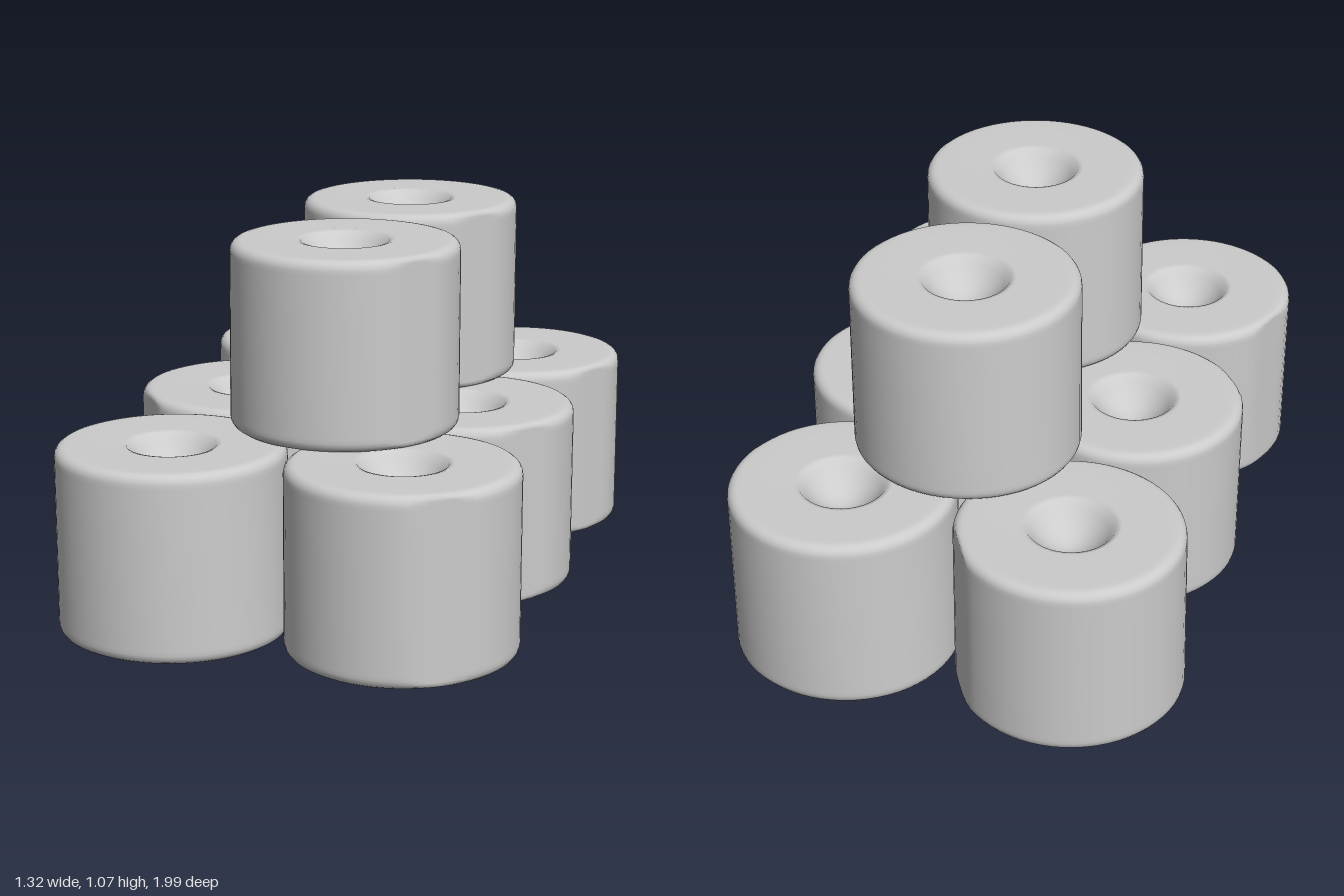
import * as THREE from 'three';
import { mergeVertices } from 'three/addons/utils/BufferGeometryUtils.js';

const R = 0.325, H = 0.535, BEVEL = 0.028, DENT_R = 0.125, DENT_D = 0.085;

// Half profile from the mid-height side up to the centre of the top dent
function upperProfile() {
  const pts = [[R, 0.08], [R, H / 2 - BEVEL - 0.012]];
  for (let i = 0; i <= 4; i++) {
    const a = (i / 4) * Math.PI / 2;
    pts.push([R - BEVEL + BEVEL * Math.cos(a), H / 2 - BEVEL + BEVEL * Math.sin(a)]);
  }
  pts.push([R - BEVEL - 0.015, H / 2], [DENT_R + 0.015, H / 2], [DENT_R, H / 2 - 0.004]);
  // rounded bowl
  for (let i = 1; i <= 7; i++) {
    const r = DENT_R * (1 - i / 7);
    pts.push([r, H / 2 - 0.004 - DENT_D * (1 - (r / DENT_R) ** 2)]);
  }
  return pts;
}

// Soft squat cylinder, dented at both ends, with one flattened side and a slight flare opposite
function rollGeometry() {
  const up = upperProfile();
  const down = up.map(([r, y]) => [r, -y]).reverse();
  const pts = [...down, ...up].map(([r, y]) => new THREE.Vector2(Math.max(r, 0), y));
  let geo = new THREE.LatheGeometry(pts, 64);
  const p = geo.attributes.position;
  for (let i = 0; i < p.count; i++) {
    let x = p.getX(i);
    const y = p.getY(i), z = p.getZ(i);
    const r = Math.hypot(x, z);
    const limit = 0.314;
    if (x > limit) x = limit;
    if (r > 0.2 && x < 0) x += 0.012 * (x / R) * (0.5 - y / H) - 0.006 * (x / R);
    p.setX(i, x);
  }
  geo.deleteAttribute('normal');
  geo.deleteAttribute('uv');
  geo = mergeVertices(geo, 1e-5);
  geo.computeVertexNormals();
  return geo;
}

export function createModel() {
  const model = new THREE.Group();
  model.name = 'stackedRolls';
  const geo = rollGeometry();
  const mat = new THREE.MeshStandardMaterial({ color: 0xcccccc });

  // name, x, z, layer, direction of the flattened side in degrees (from +x towards +z)
  const rolls = [
    ['lowerBackRight', -0.337, -0.675, 0, -30],
    ['lowerMiddleRight', -0.337, -0.002, 0, 142],
    ['lowerFrontRight', -0.337, 0.668, 0, 200],
    ['lowerBackLeft', 0.33, -0.665, 0, 28],
    ['lowerMiddleLeft', 0.325, -0.005, 0, 40],
    ['lowerFrontLeft', 0.327, 0.66, 0, 55],
    ['upperBack', 0.063, -0.35, 1, 35],
    ['upperFront', 0.063, 0.33, 1, 36],
  ];
  for (const [name, x, z, layer, deg] of rolls) {
    const roll = new THREE.Mesh(geo, mat);
    roll.name = name + 'Roll';
    roll.position.set(x, H * (layer + 0.5), z);
    roll.rotation.y = -THREE.MathUtils.degToRad(deg);
    model.add(roll);
  }
  return model;
}
